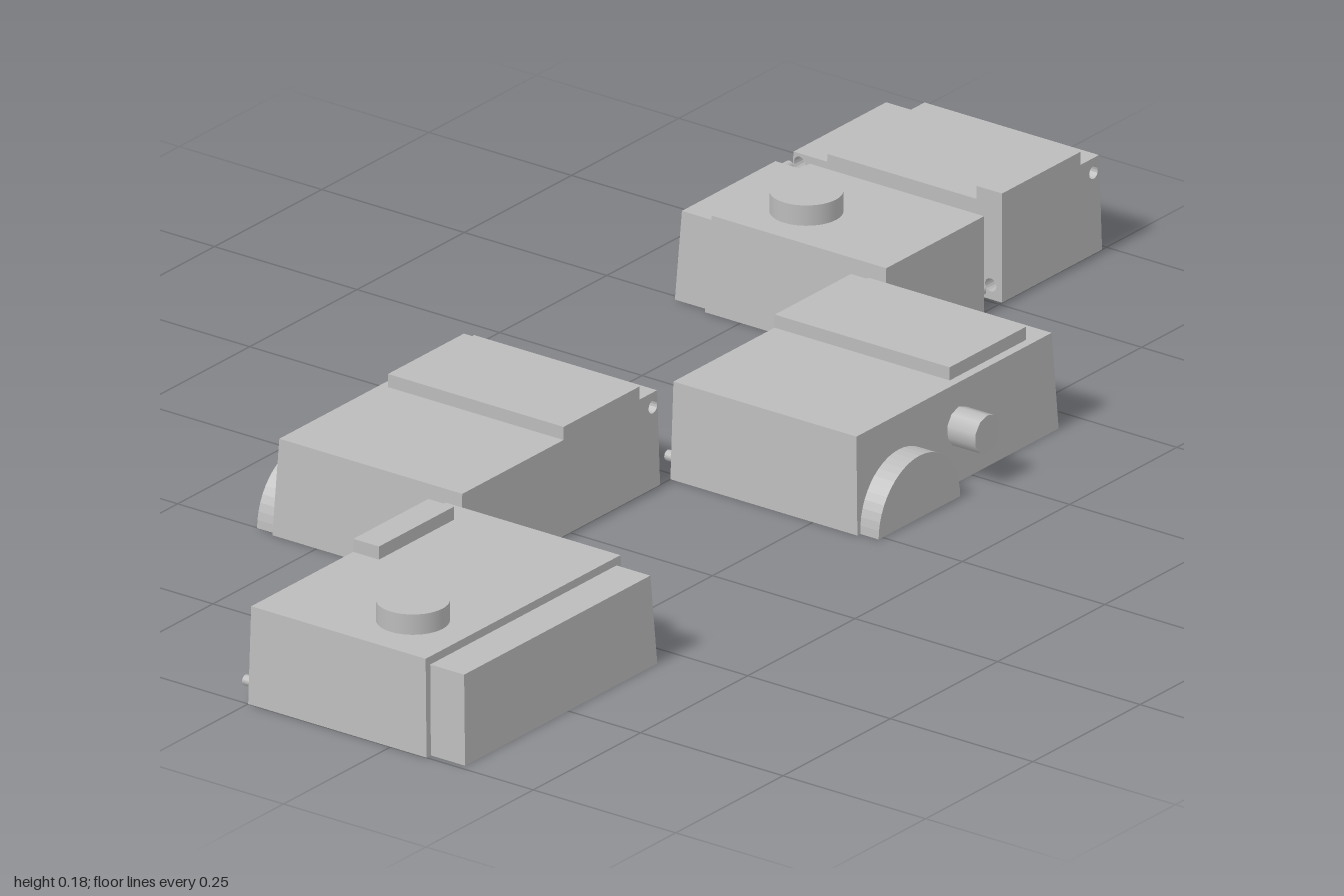
import * as THREE from 'three';

const gray = new THREE.MeshStandardMaterial({ color: 0xbbbbbb });
const TAPER = 0.007; // how far the outer walls lean in at the top

function part(parent, name, geometry) {
  const mesh = new THREE.Mesh(geometry, gray);
  mesh.name = name;
  parent.add(mesh);
  return mesh;
}

function piece(parent, name) {
  const g = new THREE.Group();
  g.name = name;
  parent.add(g);
  return g;
}

// Box between limits; left, right, back and front walls may lean in at the top
function block(x0, x1, y0, y1, z0, z1, lean = '') {
  const geo = new THREE.BoxGeometry(x1 - x0, y1 - y0, z1 - z0);
  geo.translate((x0 + x1) / 2, (y0 + y1) / 2, (z0 + z1) / 2);
  const p = geo.attributes.position;
  const xm = (x0 + x1) / 2, ym = (y0 + y1) / 2, zm = (z0 + z1) / 2;
  for (let i = 0; i < p.count; i++) {
    if (p.getY(i) < ym) continue;
    const x = p.getX(i), z = p.getZ(i);
    if (lean.includes('l') && x < xm) p.setX(i, x + TAPER);
    if (lean.includes('r') && x > xm) p.setX(i, x - TAPER);
    if (lean.includes('b') && z < zm) p.setZ(i, z + TAPER);
    if (lean.includes('f') && z > zm) p.setZ(i, z - TAPER);
  }
  geo.computeVertexNormals();
  return geo;
}

// Plate with round sockets, from an outline and a list of hole centres
function socketPlate(points, holes, depth) {
  const shape = new THREE.Shape(points.map(([x, y]) => new THREE.Vector2(x, y)));
  for (const [x, y] of holes) {
    shape.holes.push(new THREE.Path().absarc(x, y, 0.01, 0, Math.PI * 2, true));
  }
  return new THREE.ExtrudeGeometry(shape, { depth, bevelEnabled: false, curveSegments: 8 });
}

// Cylinder lying along z
function rodZ(r, x, y, z0, z1, sides) {
  const geo = new THREE.CylinderGeometry(r, r, z1 - z0, sides);
  return geo.rotateX(Math.PI / 2).translate(x, y, (z0 + z1) / 2);
}

function knob(parent, x, z) {
  part(parent, 'topKnob', new THREE.CylinderGeometry(0.052, 0.052, 0.034, 40).translate(x, 0.161, z));
}

// Half disc and round stud on an outer wall, running from z0 to z1
function wallDetails(parent, x, s, studRadius) {
  const wall = 0.315, archEnd = 0.36, studEnd = 0.373;
  const shape = new THREE.Shape().absarc(0, 0, 0.095, 0, Math.PI, false);
  const arch = new THREE.ExtrudeGeometry(shape, { depth: archEnd - wall, bevelEnabled: false, curveSegments: 12 });
  part(parent, 'halfDisc', arch.translate(x + 0.102, 0, s > 0 ? wall : -archEnd));
  const z = [s * wall, s * studEnd].sort((a, b) => a - b);
  part(parent, 'wallStud', rodZ(studRadius, x + 0.243, 0.082, z[0], z[1], 10));
}

export function createModel() {
  const model = new THREE.Group();
  model.name = 'splitBoxSet';

  // Front left-hand box with a lower front ledge
  const a = piece(model, 'ledgeBox');
  part(a, 'body', block(-1, -0.532, 0, 0.147, 0, 0.313, 'lrf'));
  part(a, 'ledge', block(-0.99, -0.542, 0, 0.135, 0.29, 0.373, 'lrf'));
  part(a, 'topBar', block(-0.755, -0.58, 0.14, 0.167, 0, 0.045));
  knob(a, -0.895, 0.21);
  part(a, 'lowPeg', rodZ(0.008, -0.98, 0.025, -0.02, 0.005, 12));
  part(a, 'highPeg', rodZ(0.008, -0.55, 0.125, -0.02, 0.005, 12));

  // Back box with sockets in its flat face
  const b = piece(model, 'backSlabBox');
  part(b, 'body', block(-0.508, -0.04, 0, 0.147, -0.328, -0.02, 'lrb'));
  part(b, 'socketFace', socketPlate(
    [[-0.508, 0], [-0.04, 0], [-0.047, 0.147], [-0.501, 0.147]],
    [[-0.488, 0.025], [-0.057, 0.125]], 0.02).translate(0, 0, -0.02));
  part(b, 'topSlab', block(-0.265, -0.088, 0.14, 0.167, -0.308, 0));
  wallDetails(b, -0.508, -1, 0.025);

  // Front box with pegs on its flat face
  const c = piece(model, 'frontSlabBox');
  part(c, 'body', block(-0.016, 0.453, 0, 0.147, 0, 0.328, 'lrf'));
  part(c, 'topSlab', block(0.227, 0.405, 0.14, 0.167, 0, 0.307));
  part(c, 'lowPeg', rodZ(0.008, 0.004, 0.025, -0.02, 0.005, 12));
  part(c, 'highPeg', rodZ(0.008, 0.438, 0.125, -0.02, 0.005, 12));
  wallDetails(c, -0.016, 1, 0.029);

  // Half box with the knob and side pegs
  const d = piece(model, 'knobHalfBox');
  part(d, 'body', block(0.48, 0.715, 0, 0.147, -0.313, -0.02, 'lb'));
  part(d, 'socketFace', socketPlate(
    [[0.48, 0], [0.715, 0], [0.715, 0.147], [0.487, 0.147]],
    [[0.5, 0.025]], 0.02).translate(0, 0, -0.02));
  part(d, 'ledge', block(0.49, 0.715, 0, 0.135, -0.373, -0.29, 'lb'));
  knob(d, 0.58, -0.21);
  for (const [y, z] of [[0.022, -0.02], [0.123, -0.357]]) {
    const peg = new THREE.CylinderGeometry(0.008, 0.008, 0.025, 12);
    part(d, 'sidePeg', peg.rotateZ(Math.PI / 2).translate(0.7235, y, z));
  }

  // Half box with the top bar and the cross-shaped button
  const e = piece(model, 'barHalfBox');
  part(e, 'body', block(0.777, 0.99, 0, 0.147, -0.313, -0.02, 'rb'));
  part(e, 'frontSocketFace', socketPlate(
    [[0.777, 0], [0.99, 0], [0.983, 0.147], [0.777, 0.147]],
    [[0.97, 0.125]], 0.02).translate(0, 0, -0.02));
  part(e, 'sideSocketFace', socketPlate(
    [[0, 0], [0.373, 0], [0.366, 0.135], [0.307, 0.135], [0.306, 0.147], [0, 0.147]],
    [[0.02, 0.022], [0.355, 0.12]], 0.02).rotateY(Math.PI / 2).translate(0.757, 0, 0));
  part(e, 'ledge', block(0.777, 0.98, 0, 0.135, -0.373, -0.29, 'rb'));
  part(e, 'topBar', block(0.757, 0.94, 0.14, 0.167, -0.045, 0));
  part(e, 'buttonCrossbar', block(0.975, 1, 0.05, 0.07, -0.196, -0.154));
  part(e, 'buttonUpright', block(0.975, 0.999, 0.045, 0.08, -0.187, -0.162));

  return model;
}
